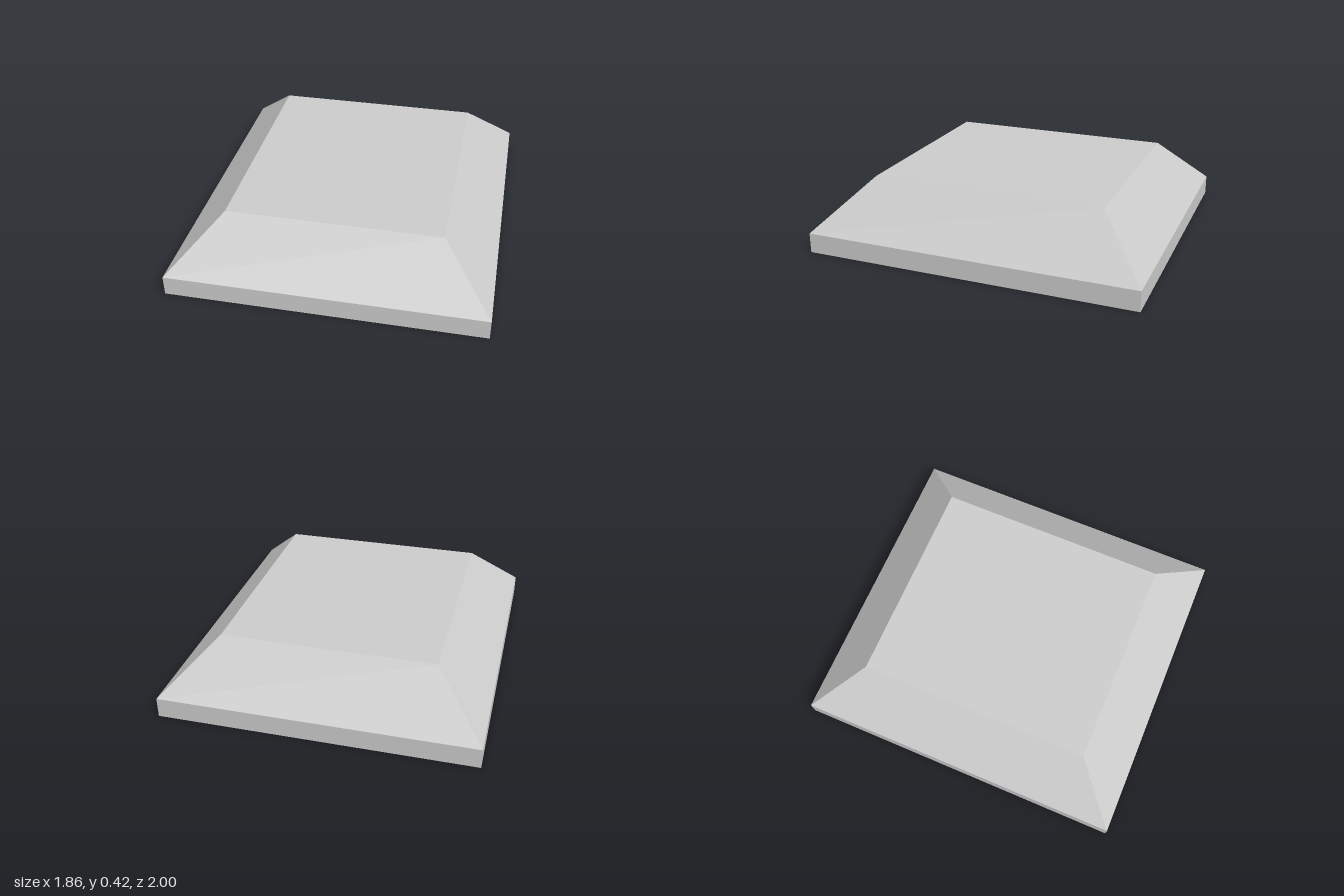
import * as THREE from 'three';

const WIDTH = 1.86, DEPTH = 2, RIM = 0.12, HEIGHT = 0.42, INSET = 0.3;

export function createModel() {
  const group = new THREE.Group();
  group.name = 'bevelledSlab';

  // A box with three rings of corners: foot, rim and inset top
  const box = new THREE.BoxGeometry(WIDTH, 2, DEPTH, 1, 2, 1);
  const pos = box.attributes.position;
  for (let i = 0; i < pos.count; i++) {
    const level = Math.round(pos.getY(i)) + 1;
    pos.setY(i, [0, RIM, HEIGHT][level]);
    if (level === 2) {
      pos.setX(i, Math.sign(pos.getX(i)) * (WIDTH / 2 - INSET));
      pos.setZ(i, Math.sign(pos.getZ(i)) * (DEPTH / 2 - INSET + 0.005));
    }
  }

  // Separate the faces so every edge stays sharp
  const geometry = box.toNonIndexed();
  geometry.computeVertexNormals();

  const slab = new THREE.Mesh(
    geometry,
    new THREE.MeshStandardMaterial({ color: 0xcccccc, flatShading: true })
  );
  slab.name = 'slab';
  group.add(slab);
  return group;
}
